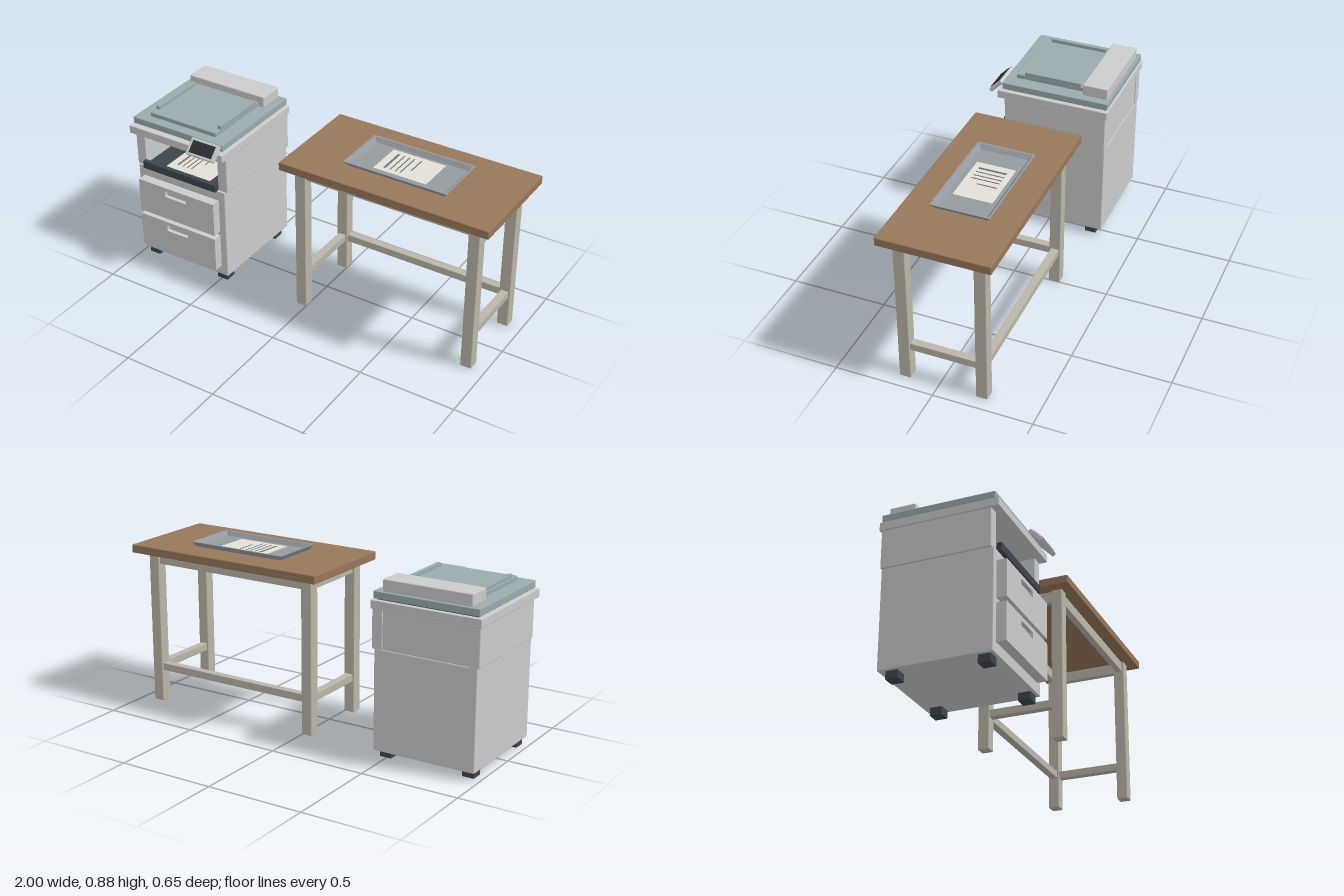
import * as THREE from 'three';
import { RoundedBoxGeometry } from 'three/addons/geometries/RoundedBoxGeometry.js';

const mat = (color) => new THREE.MeshStandardMaterial({ color });
const M = {
  body: mat(0xcccccc),
  lid: mat(0x9aabad),
  dark: mat(0x3c464b),
  screen: mat(0x2a3238),
  wood: mat(0x97775a),
  frame: mat(0xbab6a8),
  metal: mat(0x949ba0),
  paper: mat(0xe2dfd6),
  ink: mat(0x6a7075),
};

// Box from its limits, with slightly softened edges when r > 0
function block(parent, name, material, [x0, x1], [y0, y1], [z0, z1], r = 0.004) {
  const w = x1 - x0, h = y1 - y0, d = z1 - z0;
  const geo = r > 0 ? new RoundedBoxGeometry(w, h, d, 1, r) : new THREE.BoxGeometry(w, h, d);
  const mesh = new THREE.Mesh(geo, material);
  mesh.name = name;
  mesh.position.set((x0 + x1) / 2, (y0 + y1) / 2, (z0 + z1) / 2);
  parent.add(mesh);
  return mesh;
}

// Counter-clockwise rectangle
function rect(Type, x0, x1, y0, y1) {
  const p = new Type();
  p.moveTo(x0, y0);
  p.lineTo(x1, y0);
  p.lineTo(x1, y1);
  p.lineTo(x0, y1);
  p.closePath();
  return p;
}

// Drawer front with a recessed grip
function drawer(parent, y0, y1) {
  const g = new THREE.Group();
  g.name = 'drawer';
  const shape = rect(THREE.Shape, -0.949, -0.484, y0, y1);
  shape.holes.push(rect(THREE.Path, -0.785, -0.655, y1 - 0.054, y1 - 0.022));
  const front = new THREE.Mesh(new THREE.ExtrudeGeometry(shape, { depth: 0.02, bevelEnabled: false }), M.body);
  front.name = 'drawerFront';
  front.position.z = 0.272;
  g.add(front);
  block(g, 'drawerBack', M.body, [-0.949, -0.484], [y0, y1], [0.24, 0.272], 0);
  parent.add(g);
}

// Sheet with plain printed bars; bars run along z
function printedSheet(parent, [x0, x1], y, [z0, z1]) {
  const g = new THREE.Group();
  g.name = 'printedSheet';
  block(g, 'paper', M.paper, [x0, x1], [y, y + 0.003], [z0, z1], 0);
  const w = x1 - x0, d = z1 - z0;
  [[0.14, 0.04, 0.86], [0.26, 0.02, 0.86], [0.36, 0.02, 0.86], [0.45, 0.02, 0.86], [0.58, 0.02, 0.64]].forEach(([u, t, end]) =>
    block(g, 'printBar', M.ink, [x0 + u * w, x0 + (u + t) * w], [y + 0.002, y + 0.004], [z0 + 0.14 * d, z0 + end * d], 0));
  parent.add(g);
}

function buildCopier() {
  const g = new THREE.Group();
  g.name = 'copier';

  // Feet and lower cabinet
  for (const x of [-0.965, -0.527])
    for (const z of [-0.277, 0.165])
      block(g, 'foot', M.dark, [x, x + 0.064], [0, 0.045], [z, z + 0.062]);
  block(g, 'cabinet', M.body, [-0.981, -0.447], [0.04, 0.545], [-0.311, 0.243]);
  drawer(g, 0.305, 0.49);
  drawer(g, 0.094, 0.283);

  // Open output bay: side walls and back wall
  block(g, 'baySide', M.body, [-0.992, -0.937], [0.543, 0.74], [-0.313, 0.234]);
  block(g, 'baySide', M.body, [-0.49, -0.435], [0.543, 0.74], [-0.313, 0.234]);
  block(g, 'bayBack', M.body, [-0.94, -0.487], [0.543, 0.74], [-0.308, -0.25]);

  // Output tray with a raised front lip
  block(g, 'outputTray', M.dark, [-0.937, -0.49], [0.543, 0.56], [-0.25, 0.25]);
  block(g, 'outputLip', M.dark, [-0.939, -0.489], [0.543, 0.585], [0.236, 0.262]);
  printedSheet(g, [-0.83, -0.56], 0.56, [-0.12, 0.215]);

  // Scanner deck and lid
  block(g, 'scannerDeck', M.body, [-1, -0.43], [0.737, 0.78], [-0.322, 0.273]);
  block(g, 'scannerGap', M.dark, [-0.975, -0.455], [0.778, 0.79], [-0.3, 0.235], 0);
  block(g, 'scannerLid', M.lid, [-0.988, -0.442], [0.787, 0.823], [-0.317, 0.25]);
  block(g, 'lidPanel', M.lid, [-0.917, -0.516], [0.82, 0.845], [-0.175, 0.2]);
  for (const x of [-0.913, -0.536])
    block(g, 'paperGuide', M.lid, [x, x + 0.02], [0.842, 0.864], [-0.15, 0.156], 0.003);
  block(g, 'documentFeeder', M.body, [-0.944, -0.484], [0.82, 0.882], [-0.303, -0.17], 0.006);

  // Tilted control panel
  const panel = new THREE.Group();
  panel.name = 'controlPanel';
  block(panel, 'panelHousing', M.body, [-0.083, 0.083], [-0.011, 0.011], [-0.045, 0.045]);
  block(panel, 'panelScreen', M.screen, [-0.066, 0.066], [0.008, 0.014], [-0.032, 0.032], 0);
  panel.position.set(-0.529, 0.79, 0.287);
  panel.rotation.x = 0.8;
  g.add(panel);
  return g;
}

// Shallow tray with flared walls, from rectangular sections
function flaredTray() {
  const sections = [ // half width, height, half depth
    [0.255, 0, 0.127], [0.275, 0.027, 0.147], [0.265, 0.027, 0.137], [0.248, 0.006, 0.12],
  ];
  const pos = [];
  const corner = ([w, y, d], i) => [[w, y, d], [w, y, -d], [-w, y, -d], [-w, y, d]][i % 4];
  const quad = (a, b, c, d) => pos.push(...a, ...b, ...c, ...a, ...c, ...d);
  for (let s = 0; s < 3; s++)
    for (let i = 0; i < 4; i++)
      quad(corner(sections[s], i), corner(sections[s], i + 1), corner(sections[s + 1], i + 1), corner(sections[s + 1], i));
  quad(...[0, 1, 2, 3].map((i) => corner(sections[3], i)));
  quad(...[3, 2, 1, 0].map((i) => corner(sections[0], i)));
  const geo = new THREE.BufferGeometry();
  geo.setAttribute('position', new THREE.Float32BufferAttribute(pos, 3));
  geo.computeVertexNormals();
  return geo;
}

function buildTable() {
  const g = new THREE.Group();
  g.name = 'table';
  block(g, 'tableTop', M.wood, [-0.113, 0.998], [0.795, 0.838], [-0.303, 0.253], 0.005);

  // Legs with side aprons and side stretchers
  for (const x of [-0.056, 0.874]) {
    for (const z of [-0.248, 0.142])
      block(g, 'leg', M.frame, [x, x + 0.058], [0, 0.797], [z, z + 0.058]);
    block(g, 'sideApron', M.frame, [x + 0.012, x + 0.046], [0.739, 0.797], [-0.195, 0.147], 0.003);
    block(g, 'sideStretcher', M.frame, [x + 0.009, x + 0.049], [0.167, 0.207], [-0.195, 0.147], 0.003);
  }
  // Long rails: aprons front and back, stretcher at the back only
  for (const z of [-0.248, 0.142])
    block(g, 'longApron', M.frame, [-0.003, 0.879], [0.739, 0.797], [z + 0.012, z + 0.046], 0.003);
  block(g, 'backStretcher', M.frame, [-0.003, 0.879], [0.167, 0.207], [-0.239, -0.199], 0.003);

  // Tray with a sheet lying in it
  const tray = new THREE.Mesh(flaredTray(), M.metal);
  tray.name = 'tray';
  tray.position.set(0.439, 0.837, -0.028);
  g.add(tray);
  printedSheet(g, [0.297, 0.578], 0.843, [-0.13, 0.066]);
  return g;
}

export function createModel() {
  const model = new THREE.Group();
  model.name = 'copierAndTable';
  model.add(buildCopier(), buildTable());
  return model;
}
